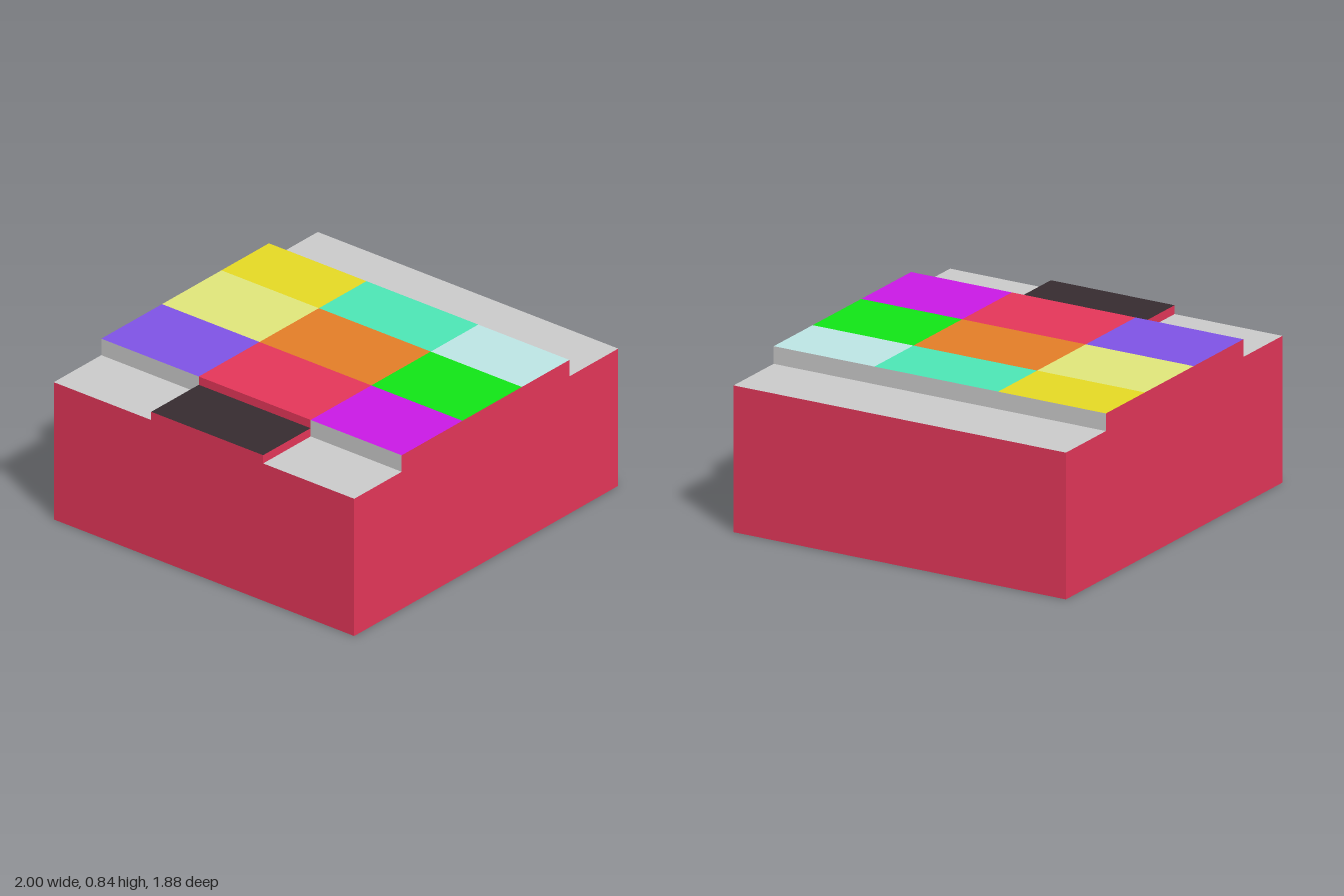
import * as THREE from 'three';

const GREY = 0xcccccc, RED = 0xe5375a, DARK = 0x362c30;
const BASE = 0.75, STEP = 0.795, TOP = 0.84; // heights of the three levels
const X = [-0.64, -0.18, 0.27, 0.63]; // tile column edges
const Z = [-0.94, -0.33, 0.37, 0.94]; // tile row edges, back to front
const TILES = [
  [0x7f53e6, 0xe1e77b, 0xe6da24],
  [RED, 0xe47e27, 0x4de7b6],
  [0xca19e6, 0x11e616, 0xbee6e5],
];

export function createModel() {
  const group = new THREE.Group();
  const materials = new Map();

  function add(name, color, geometry) {
    if (!materials.has(color)) materials.set(color, new THREE.MeshStandardMaterial({ color }));
    const mesh = new THREE.Mesh(geometry, materials.get(color));
    mesh.name = name;
    group.add(mesh);
    return mesh;
  }

  // Horizontal panel spanning x0..x1, z0..z1, facing up (dir 1) or down (dir -1)
  function flat(name, color, x0, x1, z0, z1, y, dir = 1) {
    const mesh = add(name, color, new THREE.PlaneGeometry(x1 - x0, z1 - z0));
    mesh.rotation.x = -dir * Math.PI / 2;
    mesh.position.set((x0 + x1) / 2, y, (z0 + z1) / 2);
  }

  // Upright panel at x spanning z0..z1, y0..y1, facing +x (dir 1) or -x (dir -1)
  function side(name, color, x, z0, z1, y0, y1, dir) {
    const mesh = add(name, color, new THREE.PlaneGeometry(z1 - z0, y1 - y0));
    mesh.rotation.y = dir * Math.PI / 2;
    mesh.position.set(x, (y0 + y1) / 2, (z0 + z1) / 2);
  }

  // Front and back walls share the raised outline; the back one is mirrored
  for (const dir of [1, -1]) {
    const outline = [[-1, 0], [1, 0], [1, BASE], [X[3], BASE], [X[3], TOP], [X[0], TOP], [X[0], BASE], [-1, BASE]];
    const shape = new THREE.Shape(outline.map(([x, y]) => new THREE.Vector2(x * dir, y)));
    const wall = add(dir > 0 ? 'frontWall' : 'backWall', RED, new THREE.ShapeGeometry(shape));
    wall.rotation.y = dir > 0 ? 0 : Math.PI;
    wall.position.z = dir * Z[3];
  }

  // Base block
  side('leftWall', RED, 1, Z[0], Z[3], 0, BASE, 1);
  side('rightWall', RED, -1, Z[0], Z[3], 0, BASE, -1);
  flat('underside', RED, -1, 1, Z[0], Z[3], 0, -1);
  flat('leftLedge', GREY, X[3], 1, Z[0], Z[3], BASE);
  flat('rightBackLedge', GREY, -1, X[0], Z[0], Z[1], BASE);
  flat('rightFrontLedge', GREY, -1, X[0], Z[2], Z[3], BASE);

  // Raised platform edges
  side('platformLeftEdge', GREY, X[3], Z[0], Z[3], BASE, TOP, 1);
  side('platformRightBackEdge', GREY, X[0], Z[0], Z[1], BASE, TOP, -1);
  side('platformRightFrontEdge', GREY, X[0], Z[2], Z[3], BASE, TOP, -1);
  side('platformMiddleEdge', RED, X[0], Z[1], Z[2], STEP, TOP, -1);

  // Three by three grid of coloured tiles
  TILES.forEach((row, r) => row.forEach((color, c) =>
    flat(`tileRow${r + 1}Column${c + 1}`, color, X[c], X[c + 1], Z[r], Z[r + 1], TOP)));

  // Entry step beside the middle row
  flat('stepTop', DARK, -1, X[0], Z[1], Z[2], STEP);
  side('stepOuterEdge', RED, -1, Z[1], Z[2], BASE, STEP, -1);
  for (const dir of [1, -1]) {
    const edge = add(dir > 0 ? 'stepFrontEdge' : 'stepBackEdge', RED, new THREE.PlaneGeometry(X[0] + 1, STEP - BASE));
    edge.rotation.y = dir > 0 ? 0 : Math.PI;
    edge.position.set((X[0] - 1) / 2, (BASE + STEP) / 2, dir > 0 ? Z[2] : Z[1]);
  }

  return group;
}
